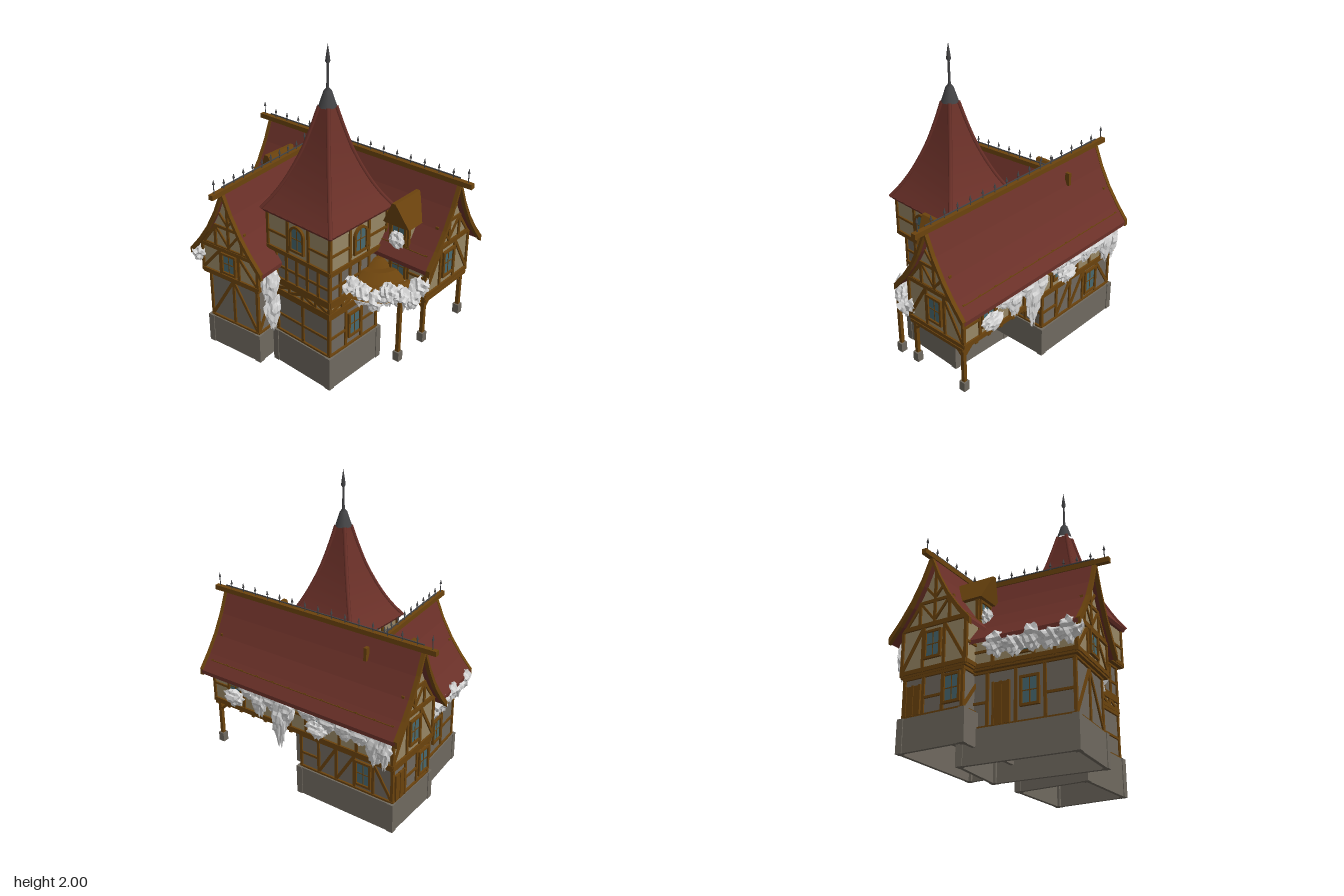
import * as THREE from 'three';
import { toCreasedNormals } from 'three/addons/utils/BufferGeometryUtils.js';

const material = (name, color) => Object.assign(new THREE.MeshStandardMaterial({ color }), { name });
const roofRed = material('roof red', 0x6a3028), timber = material('timber brown', 0x6b430d);
const plaster = material('tan plaster', 0x978664), greyWall = material('grey plaster', 0x6f685e);
const stone = material('stone', 0x6f695f), glass = material('window teal', 0x47686f);
const iron = material('iron', 0x444446), leaf = material('pale foliage', 0xd9d9d9);

function add(parent, name, geo, mat, x = 0, y = 0, z = 0) {
  const m = new THREE.Mesh(geo, mat);
  m.name = name;
  m.position.set(x, y, z);
  parent.add(m);
  return m;
}
function group(parent, name, x = 0, y = 0, z = 0, turn = 0) {
  const g = new THREE.Group();
  g.name = name;
  g.position.set(x, y, z);
  g.rotation.y = turn;
  parent.add(g);
  return g;
}
function box(parent, name, mat, [x0, x1, y0, y1, z0, z1]) {
  return add(parent, name, new THREE.BoxGeometry(x1 - x0, y1 - y0, z1 - z0), mat, (x0 + x1) / 2, (y0 + y1) / 2, (z0 + z1) / 2);
}
function beam(parent, x1, y1, x2, y2, t = 0.018, d = 0.018) {
  const m = add(parent, 'beam', new THREE.BoxGeometry(Math.hypot(x2 - x1, y2 - y1) + t * 0.6, t, d), timber, (x1 + x2) / 2, (y1 + y2) / 2, 0);
  m.rotation.z = Math.atan2(y2 - y1, x2 - x1);
}
function polygon(points) {
  return new THREE.Shape(points.map(p => new THREE.Vector2(...p)));
}

// Framed window, optionally with a round arch
function makeWindow(parent, x, y, w, h, arched = false) {
  const g = group(parent, 'window', x, y, 0.004);
  const outline = (hw, hh) => {
    const s = new THREE.Shape().moveTo(-hw, -hh).lineTo(hw, -hh);
    if (arched) s.lineTo(hw, hh - hw).absarc(0, hh - hw, hw, 0, Math.PI, false);
    else s.lineTo(hw, hh).lineTo(-hw, hh);
    return s;
  };
  const frame = outline(w / 2 + 0.014, h / 2 + 0.014);
  frame.holes.push(outline(w / 2, h / 2));
  add(g, 'windowFrame', new THREE.ExtrudeGeometry(frame, { depth: 0.016, bevelEnabled: false }), timber);
  add(g, 'windowPane', new THREE.ExtrudeGeometry(outline(w / 2, h / 2), { depth: 0.006, bevelEnabled: false }), glass);
  beam(g, 0, -h / 2, 0, h / 2, 0.005, 0.018);
  beam(g, -w / 2, 0, w / 2, 0, 0.005, 0.018);
}

// Half-timbered wall face: rails, posts, braces, windows and doors in numbered bays
function timberFace(parent, name, x, y, z, turn, w, h, { bays, win = [], door = [], brace = [], arch = false }) {
  const g = group(parent, name, x, y, z, turn), b = w / bays;
  beam(g, -w / 2, 0.01, w / 2, 0.01, 0.024, 0.024);
  beam(g, -w / 2, h - 0.01, w / 2, h - 0.01, 0.024, 0.024);
  for (let i = 0; i <= bays; i++) {
    const px = -w / 2 + i * b;
    beam(g, px, 0, px, h);
    if (i === bays) break;
    const mid = px + b / 2;
    if (win.includes(i)) makeWindow(g, mid, h * 0.53, Math.min(0.085, b * 0.7), Math.min(0.14, h * 0.56), arch);
    else if (door.includes(i)) {
      box(g, 'door', timber, [mid - 0.045, mid + 0.045, 0.02, h * 0.75, 0, 0.014]);
      for (const s of [-0.045, 0, 0.045]) beam(g, mid + s, 0.02, mid + s, h * 0.75, 0.012, 0.036);
    } else if (brace.includes(i)) {
      if (i < bays / 2) beam(g, px, 0.02, px + b, h - 0.02);
      else beam(g, px, h - 0.02, px + b, 0.02);
    } else beam(g, px, h * 0.45, px + b, h * 0.45, 0.014);
  }
}
function frames(parent, [x0, x1, y0, y1, z0, z1], { front, right, back, left }) {
  const cx = (x0 + x1) / 2, cz = (z0 + z1) / 2, h = y1 - y0;
  if (front) timberFace(parent, 'frontFraming', cx, y0, z1, 0, x1 - x0, h, front);
  if (right) timberFace(parent, 'rightFraming', x1, y0, cz, Math.PI / 2, z1 - z0, h, right);
  if (back) timberFace(parent, 'backFraming', cx, y0, z0, Math.PI, x1 - x0, h, back);
  if (left) timberFace(parent, 'leftFraming', x0, y0, cz, -Math.PI / 2, z1 - z0, h, left);
}
function storey(parent, name, mat, size, faces) {
  box(parent, name, mat, size);
  frames(parent, size, faces);
}

// Hollow stone plinth, open below, with corner piers
function plinth(parent, [x0, x1, y0, y1, z0, z1]) {
  const g = group(parent, 'stonePlinth'), t = 0.02;
  box(g, 'plinthSide', stone, [x0, x0 + t, y0, y1, z0, z1]);
  box(g, 'plinthSide', stone, [x1 - t, x1, y0, y1, z0, z1]);
  box(g, 'plinthSide', stone, [x0, x1, y0, y1, z0, z0 + t]);
  box(g, 'plinthSide', stone, [x0, x1, y0, y1, z1 - t, z1]);
  box(g, 'plinthTop', stone, [x0, x1, y1 - t, y1, z0, z1]);
  for (const x of [x0, x1]) for (const z of [z0, z1])
    box(g, 'plinthPier', stone, [x - 0.02, x + 0.02, y0, y1 + 0.002, z - 0.02, z + 0.02].map((v, i) => i < 2 ? v + (x === x0 ? 0.015 : -0.015) : i > 3 ? v + (z === z0 ? 0.015 : -0.015) : v));
}

// Flared gable profile: half width and drop from the ridge
const P = [[0, 0], [0.06, -0.145], [0.125, -0.265], [0.195, -0.365], [0.27, -0.455]];
const mirrored = pts => [...pts.slice(1).reverse().map(([x, y]) => [-x, y]), ...pts];
function shell(thick, lift = 0) {
  const outer = mirrored(P).map(([x, y]) => [x, y + lift]);
  return polygon([...outer, ...outer.map(([x, y]) => [x, y - thick]).reverse()]);
}
function gabledRange(parent, ridge, floor, roofZ, wallZ, ridgeZ, spikes) {
  const along = (name, shape, mat, a, b) => add(parent, name, new THREE.ExtrudeGeometry(shape, { depth: b - a, bevelEnabled: false }), mat, 0, ridge, a);
  const half = [[0, -0.02], [0.06, -0.165], [0.125, -0.285], [0.195, -0.385], [0.21, -0.41], [0.21, floor - ridge]];
  along('upperStorey', polygon(mirrored(half)), plaster, ...wallZ);
  along('roof', shell(0.025), roofRed, ...roofZ);
  // Bargeboards and gable timbers
  for (const [i, z] of roofZ.entries()) along('bargeboard', shell(0.04, 0.006), timber, z - 0.012, z + 0.012);
  for (const [i, z] of wallZ.entries()) {
    const g = group(parent, 'gableFraming', 0, ridge, z, i ? 0 : Math.PI);
    beam(g, -0.2, -0.4, 0.2, -0.4, 0.022);
    beam(g, -0.12, -0.26, 0.12, -0.26);
    beam(g, 0, -0.4, 0, -0.06);
    for (const s of [-1, 1]) {
      beam(g, s * 0.1, -0.4, s * 0.1, -0.26);
      beam(g, s * 0.19, -0.39, s * 0.1, -0.27);
      beam(g, 0, -0.38, s * 0.09, -0.27, 0.014);
      beam(g, 0, -0.24, s * 0.06, -0.17, 0.014);
    }
  }
  // Ridge beam with iron cresting
  box(parent, 'ridgeBeam', timber, [-0.015, 0.015, ridge - 0.02, ridge + 0.01, ...ridgeZ]);
  box(parent, 'crestRail', iron, [-0.003, 0.003, ridge + 0.02, ridge + 0.026, ...roofZ]);
  for (let i = 0; i < spikes; i++) {
    const end = i === 0 || i === spikes - 1, h = end ? 0.07 : 0.045;
    const z = THREE.MathUtils.lerp(ridgeZ[0] + 0.03, ridgeZ[1] - 0.03, i / (spikes - 1));
    add(parent, 'crestSpike', new THREE.CylinderGeometry(0.003, 0.003, h, 5), iron, 0, ridge + h / 2, z);
    add(parent, 'crestTip', new THREE.ConeGeometry(0.008, 0.03, 5), iron, 0, ridge + h + 0.01, z);
  }
}

// Ragged clump of foliage, narrowing downwards
let seed = 1;
function foliage(parent, x, y, z, sx, sy, sz) {
  const geo = new THREE.IcosahedronGeometry(1, 3), p = geo.attributes.position, k = seed++ * 1.7;
  for (let i = 0; i < p.count; i++) {
    const a = p.getX(i), b = p.getY(i), c = p.getZ(i);
    const r = 0.9 + 0.2 * Math.sin(8 * a + k) * Math.cos(7 * b - k) + 0.12 * Math.sin(13 * c + 9 * b + k);
    const taper = b < 0 ? 1 + 0.45 * b : 1;
    p.setXYZ(i, a * r * taper * sx, b * r * sy, c * r * taper * sz);
  }
  geo.computeVertexNormals();
  add(parent, 'foliage', geo, leaf, x, y, z);
}
function post(parent, x, z, foot, top) {
  const g = group(parent, 'porchPost', x, 0, z);
  box(g, 'postFoot', stone, [-0.02, 0.02, foot, foot + 0.06, -0.02, 0.02]);
  box(g, 'postShaft', timber, [-0.011, 0.011, foot + 0.06, top, -0.011, 0.011]);
  return g;
}

// Dormer facing -x with a long ridge over shorter eaves
function dormer(parent, z) {
  const g = group(parent, 'dormer', -0.188, 0, z);
  box(g, 'dormerBody', plaster, [-0.02, 0.12, 0.84, 1.0, -0.06, 0.06]);
  timberFace(g, 'dormerFace', -0.02, 0.84, 0, -Math.PI / 2, 0.12, 0.16, { bays: 1, win: [0] });
  const geo = new THREE.CylinderGeometry(0.13, 0.1, 0.15, 4, 1).toNonIndexed(), p = geo.attributes.position;
  for (let i = 0; i < p.count; i++) {
    const a = Math.atan2(p.getX(i), p.getZ(i)) + Math.PI / 4, top = p.getY(i) > 0;
    const r = Math.hypot(p.getX(i), p.getZ(i));
    p.setXYZ(i, r < 0.01 ? 0.04 : 0.04 + Math.sin(a) * r * 1.41 * (top ? 0.66 : 0.8), p.getY(i), r < 0.01 ? 0 : Math.cos(a) * (top ? 0.01 : 0.13));
    if (r >= 0.01) p.setX(i, 0.04 + Math.sign(Math.round(Math.sin(a + Math.PI / 4) * 10)) * (top ? 0.12 : 0.085));
    if (r >= 0.01) p.setZ(i, Math.sign(Math.round(Math.cos(a + Math.PI / 4) * 10)) * (top ? 0.012 : 0.09));
  }
  // Square the rim so that the top becomes a ridge
  const rim = new THREE.BoxGeometry(1, 1, 1), q = rim.attributes.position;
  for (let i = 0; i < q.count; i++) {
    const top = q.getY(i) > 0;
    q.setXYZ(i, 0.03 + Math.sign(q.getX(i)) * (top ? 0.12 : 0.09), top ? 1.135 : 0.985, Math.sign(q.getZ(i)) * (top ? 0.012 : 0.09));
  }
  add(g, 'dormerRoof', toCreasedNormals(rim, 0.2), timber);
  foliage(g, -0.045, 0.885, 0, 0.035, 0.06, 0.055);
}

export function createModel() {
  const root = new THREE.Group();
  root.name = 'timberHouse';
  const rad = THREE.MathUtils.degToRad;

  // Main range, with an overhanging front half on posts
  const main = group(group(root, 'mainRangeTurn', 0, 0, 0, rad(30)), 'mainRange', 0.188);
  gabledRange(main, 1.245, 0.57, [-0.62, 0.81], [-0.57, 0.76], [-0.7, 0.89], 17);
  frames(main, [-0.21, 0.21, 0.57, 0.85, -0.57, 0.76], {
    front: { bays: 3, win: [1], brace: [0, 2] }, back: { bays: 3, win: [1], brace: [0, 2] },
    right: { bays: 11, win: [1, 6] }, left: { bays: 11, win: [9] },
  });
  box(main, 'overhangFloor', timber, [-0.215, 0.215, 0.555, 0.575, -0.575, 0.765]);
  storey(main, 'groundStorey', greyWall, [-0.19, 0.19, 0.31, 0.56, -0.56, 0.09], {
    front: { bays: 3, win: [1] }, back: { bays: 3, win: [2], door: [0] },
    right: { bays: 5, win: [3], brace: [1, 2, 4] }, left: { bays: 4, brace: [0, 3] },
  });
  plinth(main, [-0.215, 0.212, 0.13, 0.32, -0.577, 0.11]);
  for (const s of [-1, 1]) {
    const g = post(main, s * 0.19, 0.745, 0.26, 0.57);
    beam(g, 0, 0.49, -s * 0.07, 0.555, 0.014);
    beam(group(g, 'sideBrace', 0, 0, 0, Math.PI / 2), 0, 0.49, 0.07, 0.555, 0.014);
  }
  for (let z = 0.15; z < 0.75; z += 0.1) box(main, 'floorJoist', timber, [-0.21, 0.21, 0.54, 0.56, z, z + 0.02]);
  box(main, 'roofHook', timber, [0.045, 0.075, 1.1, 1.18, -0.295, -0.275]);
  dormer(main, 0.57);
  dormer(main, -0.4);
  // Window boxes and hanging growth beneath the right eave
  for (const z of [0.57, -0.07]) foliage(main, 0.245, 0.655, z, 0.04, 0.06, 0.08);
  for (const [z, bottom, w] of [[0.46, 0.68, 0.08], [0.38, 0.58, 0.06], [0.28, 0.66, 0.08], [0.22, 0.42, 0.06], [0.16, 0.6, 0.06],
    [0, 0.68, 0.08], [-0.14, 0.66, 0.09], [-0.26, 0.64, 0.08], [-0.36, 0.66, 0.09], [-0.46, 0.55, 0.06], [-0.53, 0.56, 0.05]])
    foliage(main, 0.235, (0.8 + bottom) / 2, z, 0.03, (0.8 - bottom) / 2, w);

  // Side wing
  const wing = group(group(root, 'sideWingTurn', 0, 0, 0, rad(-55.5)), 'sideWing', -0.267);
  gabledRange(wing, 1.16, 0.56, [-0.17, 0.61], [-0.15, 0.575], [-0.18, 0.7], 11);
  frames(wing, [-0.21, 0.21, 0.56, 0.76, -0.15, 0.575], {
    front: { bays: 3, win: [1], brace: [0, 2] }, left: { bays: 6, win: [3] }, right: { bays: 6 },
  });
  box(wing, 'jettyFloor', timber, [-0.215, 0.215, 0.545, 0.565, -0.15, 0.58]);
  storey(wing, 'groundStorey', greyWall, [-0.18, 0.18, 0.22, 0.555, -0.12, 0.55], {
    front: { bays: 2, brace: [0, 1] }, left: { bays: 4, door: [1], win: [2] }, right: { bays: 4, brace: [0, 3] },
  });
  plinth(wing, [-0.2, 0.2, 0.04, 0.23, -0.12, 0.57]);
  foliage(wing, 0.235, 0.58, 0.5, 0.05, 0.15, 0.07);
  foliage(wing, 0.235, 0.39, 0.48, 0.04, 0.15, 0.06);
  for (let i = 0; i < 5; i++) foliage(wing, -0.24, 0.665 - 0.015 * (i % 2), 0.13 + i * 0.105, 0.05, 0.075, 0.08);

  // Tower
  const tower = group(root, 'tower', -0.09, 0, 0.295, rad(28));
  const square = (h, y0, y1) => [-h, h, y0, y1, -h, h];
  const every = spec => ({ front: spec, right: spec, back: spec, left: spec });
  plinth(tower, square(0.226, 0, 0.22));
  storey(tower, 'lowerStorey', greyWall, square(0.205, 0.21, 0.5), { ...every({ bays: 2 }), front: { bays: 3, win: [1] }, right: { bays: 2, brace: [] } });
  box(tower, 'tanPanel', plaster, [0.203, 0.208, 0.24, 0.48, -0.19, 0.19]);
  storey(tower, 'bracedBand', plaster, square(0.207, 0.5, 0.58), every({ bays: 4, brace: [0, 1, 2, 3] }));
  storey(tower, 'middleStorey', greyWall, square(0.207, 0.58, 0.8), every({ bays: 5 }));
  box(tower, 'jettyFloor', timber, square(0.245, 0.79, 0.81));
  storey(tower, 'upperStorey', plaster, square(0.238, 0.8, 1.06), every({ bays: 3, win: [1], arch: true }));
  // Flared four-sided roof with hip ridges and spire
  const profile = [[0.375, 1.05], [0.31, 1.12], [0.25, 1.2], [0.19, 1.3], [0.135, 1.41], [0.085, 1.54], [0.045, 1.66]];
  const cone = new THREE.LatheGeometry(profile.map(p => new THREE.Vector2(...p)), 4);
  add(tower, 'towerRoof', toCreasedNormals(cone, 0.6), roofRed).rotation.y = Math.PI / 4;
  add(tower, 'towerEaves', toCreasedNormals(new THREE.CylinderGeometry(0.375, 0.36, 0.02, 4), 0.5), roofRed, 0, 1.042).rotation.y = Math.PI / 4;
  for (let i = 0; i < 4; i++) {
    const hip = new THREE.CatmullRomCurve3(profile.map(([r, y]) => new THREE.Vector3(r, y, 0)));
    add(tower, 'hipRidge', new THREE.TubeGeometry(hip, 24, 0.012, 6), roofRed).rotation.y = Math.PI / 4 + i * Math.PI / 2;
  }
  const spire = [[0.052, 1.655], [0.04, 1.69], [0.022, 1.745], [0.008, 1.76], [0.006, 1.89], [0.014, 1.905], [0.008, 1.95], [0, 2]];
  add(tower, 'spire', new THREE.LatheGeometry(spire.map(p => new THREE.Vector2(...p)), 8), iron);

  // Quarter-round canopy in the corner of tower and main range
  const porch = group(main, 'cornerCanopy', -0.215, 0, 0.43);
  const start = -Math.PI / 2, rings = [[0.3, 0.61], [0.3, 0.625], [0.2, 0.67], [0.02, 0.72]];
  for (let i = 0; i < 3; i++) {
    const [r, y] = [[0.31, 0.625], [0.22, 0.665], [0.12, 0.7]][i];
    add(porch, 'canopyTier', new THREE.CylinderGeometry(r - 0.08, r, 0.05, 12, 1, false, start, Math.PI / 2), timber, 0, y, 0);
  }
  post(porch, -0.16, 0.28, 0.21, 0.62);
  for (let i = 0; i < 7; i++) {
    const a = start + (i / 6) * Math.PI / 2, r = 0.3;
    foliage(porch, Math.sin(a) * r * 0.85, 0.635 - 0.025 * (i % 3), Math.cos(a) * r, 0.06, 0.075, 0.06);
  }
  foliage(porch, -0.03, 0.54, 0.2, 0.04, 0.11, 0.05);
  return root;
}
